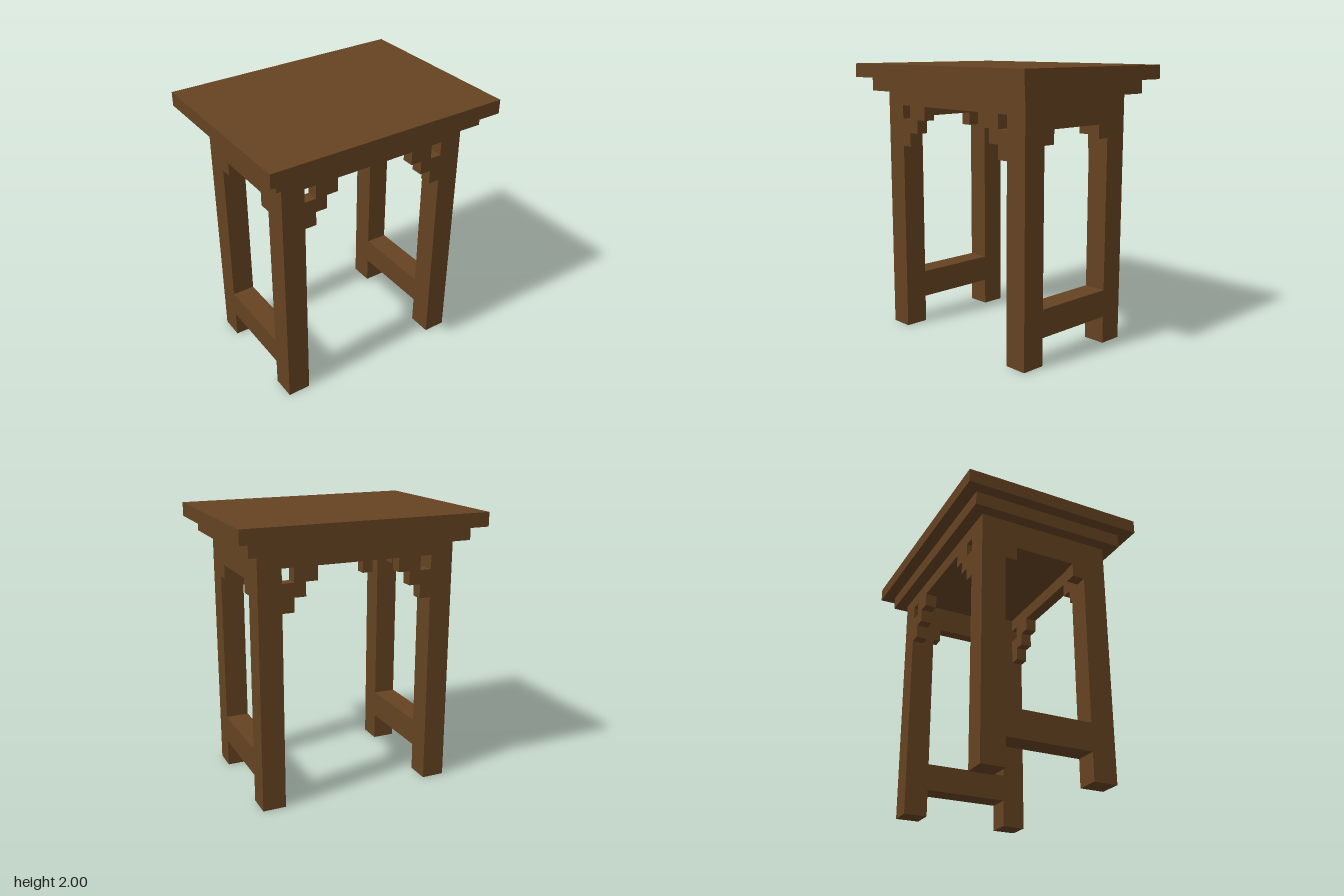
import * as THREE from 'three';

const wood = new THREE.MeshStandardMaterial({ color: 0x654321 });
wood.name = 'dark wood';

// Half-sizes of the leg frame and the leg section
const X = 0.72, Z = 0.49, LEG_X = 0.167, LEG_Z = 0.175, RAIL = 0.087;
const IN_X = X - LEG_X, IN_Z = Z - LEG_Z;

function box(name, w, h, d, x, y, z) {
  const mesh = new THREE.Mesh(new THREE.BoxGeometry(w, h, d), wood);
  mesh.name = name;
  mesh.position.set(x, y, z);
  return mesh;
}

// Symmetric stepped apron: top at y = 1.8, steps listed from the leg inwards as [x, y]
function apronGeometry(half, steps, holes, depth) {
  const pts = [[half, 1.8], ...steps];
  const mirrored = pts.slice().reverse().map(([x, y]) => [-x, y]);
  const shape = new THREE.Shape([...pts, ...mirrored].map(p => new THREE.Vector2(...p)).reverse());
  for (const [x0, x1, y0, y1] of holes) {
    shape.holes.push(new THREE.Path([
      new THREE.Vector2(x0, y0), new THREE.Vector2(x0, y1),
      new THREE.Vector2(x1, y1), new THREE.Vector2(x1, y0)]));
  }
  return new THREE.ExtrudeGeometry(shape, { depth, bevelEnabled: false });
}

export function createModel() {
  const table = new THREE.Group();
  table.name = 'table';

  // Stepped top
  table.add(box('tableTop', 1.776, 0.1, 1.334, 0, 1.95, 0));
  table.add(box('topMoulding', 1.608, 0.1, 1.156, 0, 1.85, 0));

  // Legs
  for (const sx of [-1, 1]) for (const sz of [-1, 1]) {
    table.add(box('leg', LEG_X, 1.8, LEG_Z, sx * (X - LEG_X / 2), 0.9, sz * (Z - LEG_Z / 2)));
  }

  // Long aprons with stepped brackets and a square opening beside each leg
  const e = 0.001; // keeps the opening's edge just inside the apron outline
  const longSteps = [[IN_X + e, 1.4], [0.469, 1.4], [0.469, 1.5], [0.385, 1.5],
    [0.385, 1.6], [0.3, 1.6], [0.3, 1.7]];
  const longApron = apronGeometry(IN_X + e, longSteps,
    [[-IN_X, -0.469, 1.6, 1.7], [0.469, IN_X, 1.6, 1.7]], RAIL);
  // Short aprons with a single step
  const shortApron = apronGeometry(IN_Z, [[IN_Z, 1.5], [0.225, 1.5], [0.225, 1.6]], [], RAIL);

  for (const s of [-1, 1]) {
    const front = new THREE.Mesh(longApron, wood);
    front.name = s > 0 ? 'frontApron' : 'backApron';
    front.rotation.y = s > 0 ? 0 : Math.PI;
    front.position.z = s * (Z - RAIL);
    table.add(front);

    const side = new THREE.Mesh(shortApron, wood);
    side.name = s > 0 ? 'leftApron' : 'rightApron';
    side.rotation.y = s * Math.PI / 2;
    side.position.x = s * (X - RAIL);
    table.add(side);

    // Low stretcher between the legs of each side
    table.add(box('stretcher', LEG_X, 0.2, IN_Z * 2, s * (X - LEG_X / 2), 0.3, 0));
  }
  return table;
}
